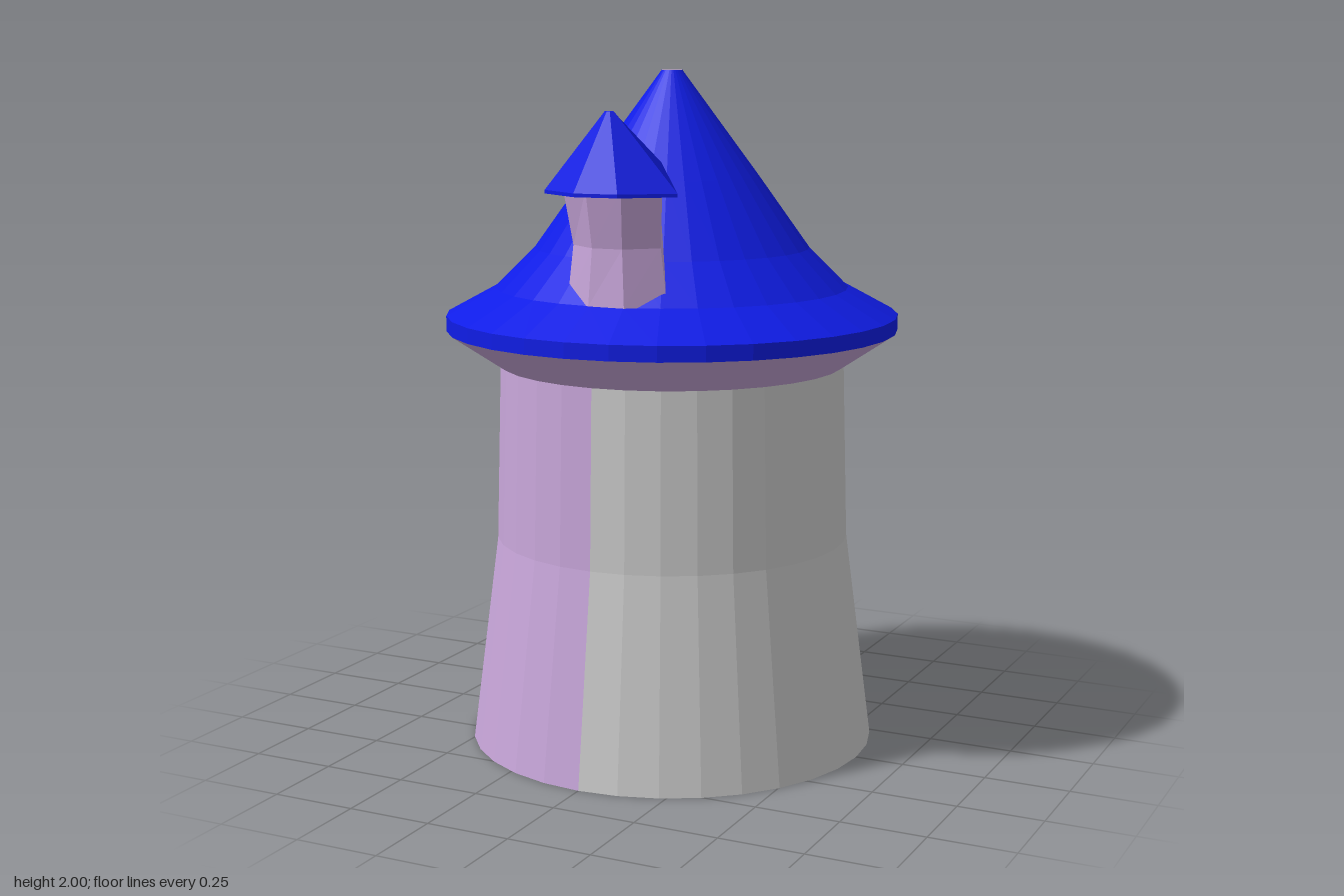
import * as THREE from 'three';

const SIDES = 32;
const STEP = (Math.PI * 2) / SIDES;
const mat = (color) => new THREE.MeshStandardMaterial({ color, flatShading: true });

// Turned section around the tower axis; from/count are facets, starting at the front
function turned(name, profile, material, from = 0, count = SIDES) {
  const pts = profile.map(([r, y]) => new THREE.Vector2(r, y));
  const mesh = new THREE.Mesh(new THREE.LatheGeometry(pts, count, from * STEP, count * STEP), material);
  mesh.name = name;
  return mesh;
}

// Skin over equal-length rings of [x, y, z], with both ends closed
function loft(name, rings, material) {
  const n = rings[0].length;
  const index = [];
  for (let i = 0; i < rings.length - 1; i++) {
    for (let j = 0; j < n; j++) {
      const a = i * n + j, b = i * n + ((j + 1) % n);
      index.push(a, b, b + n, a, b + n, a + n);
    }
  }
  const top = (rings.length - 1) * n;
  for (let j = 1; j < n - 1; j++) {
    index.push(0, j + 1, j);
    index.push(top, top + j, top + j + 1);
  }
  const geo = new THREE.BufferGeometry();
  geo.setAttribute('position', new THREE.Float32BufferAttribute(rings.flat(2), 3));
  geo.setIndex(index);
  geo.computeVertexNormals();
  const mesh = new THREE.Mesh(geo, material);
  mesh.name = name;
  return mesh;
}

export function createModel() {
  const grey = mat(0xcccccc), purple = mat(0xc8a6da), blue = mat(0x0f1ce6);
  const group = new THREE.Group();
  group.name = 'tower';

  // Tapered wall: grey on one side, purple on the other
  const wall = [[0.605, 0], [0.525, 0.62], [0.51, 1.14]];
  group.add(turned('greyWall', wall, grey, 0, 14));
  group.add(turned('purpleWall', wall, purple, 14, SIDES - 14));
  group.add(turned('base', [[0, 0], [0.605, 0]], purple));

  // Flared underside of the eaves, roof and its flat tip
  group.add(turned('eavesUnderside', [[0.51, 1.14], [0.667, 1.245]], purple));
  group.add(turned('roof', [[0.667, 1.245], [0.667, 1.29], [0.52, 1.37],
    [0.405, 1.485], [0.255, 1.695], [0.03, 2]], blue));
  group.add(turned('roofTip', [[0.03, 2], [0, 2]], purple));

  // Small six-sided turret growing out of the front of the roof
  const turret = new THREE.Group();
  turret.name = 'turret';
  turret.add(loft('turretBody', [
    [[-0.10, 1.37, 0.46], [0.0, 1.37, 0.525], [0.11, 1.37, 0.525], [0.20, 1.37, 0.44], [0.11, 1.37, 0.30], [-0.05, 1.37, 0.30]],
    [[-0.08, 1.53, 0.46], [0.01, 1.53, 0.52], [0.10, 1.53, 0.515], [0.18, 1.53, 0.44], [0.11, 1.63, 0.30], [-0.05, 1.63, 0.30]],
    [[-0.09, 1.69, 0.50], [0.01, 1.69, 0.555], [0.115, 1.69, 0.55], [0.20, 1.69, 0.47], [0.11, 1.73, 0.33], [-0.05, 1.73, 0.33]],
  ], purple));

  // Turret roof: eave corners with a thin rim, rising to an off-centre point
  const eave = [[-0.13, 1.675, 0.53], [0, 1.675, 0.605], [0.125, 1.675, 0.59],
    [0.255, 1.675, 0.49], [0.12, 1.73, 0.315], [-0.065, 1.73, 0.325]];
  const rim = eave.map(([x, y, z], i) => [x, y + (i > 3 ? 0.025 : 0.01), z]);
  const peak = eave.map(([x, , z]) => [0.05 + (x - 0.05) * 0.07, 1.9, 0.49 + (z - 0.49) * 0.07]);
  turret.add(loft('turretRoof', [eave, rim, peak], blue));
  group.add(turret);

  // Projecting bay on the back wall with a sloped underside
  group.add(loft('backBay', [
    [[0.07, 0.735, -0.485], [-0.12, 0.735, -0.485], [-0.12, 1.02, -0.485], [0.07, 1.02, -0.485]],
    [[0.04, 0.88, -0.585], [-0.085, 0.88, -0.585], [-0.085, 1.04, -0.585], [0.04, 1.04, -0.585]],
  ], purple));

  return group;
}
